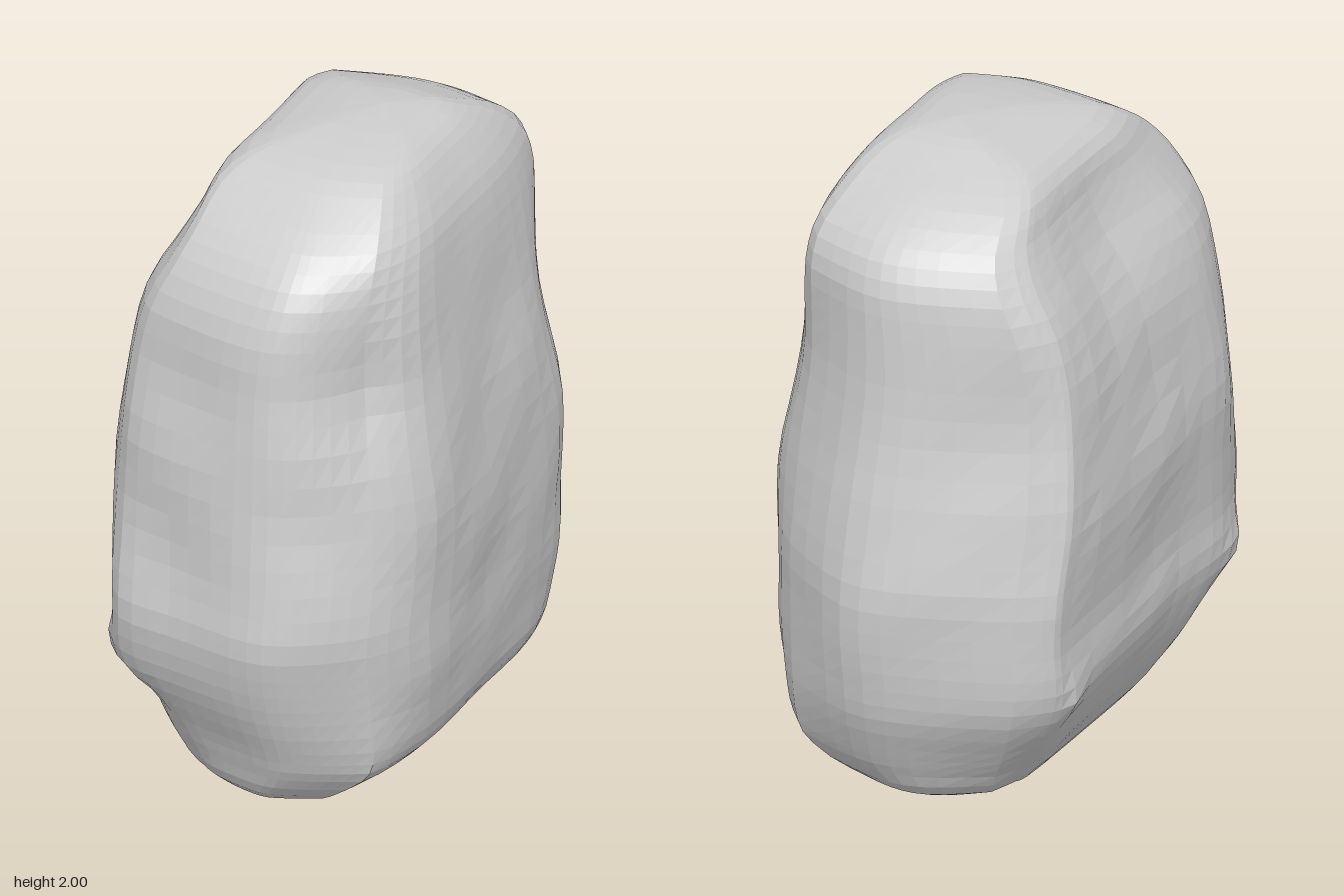
import * as THREE from 'three';

// Plan outline, normalised to -1..1 in x and z; third value marks the sharp -x corners
const PLAN = [
  [1, -0.5, 0], [1, 0, 0], [0.97, 0.53, 0], [0.7, 0.79, 0], [0.4, 0.95, 0], [0.1, 1, 0],
  [-0.4, 0.92, 0.3], [-0.8, 0.83, 1], [-1, 0.57, 0.4], [-0.97, 0.2, 0],
  [-1, -0.62, 0.5], [-0.9, -0.8, 1], [-0.25, -0.97, 0], [0.24, -1, 0], [0.76, -0.75, 0],
];

// Levels from bottom to top: y, xMin, xMax, zMin, zMax
const LEVELS = [
  [0, 0, 0, 0.05, 0.05], [0.02, -0.09, 0.1, -0.28, 0.36], [0.05, -0.18, 0.16, -0.45, 0.51],
  [0.11, -0.28, 0.26, -0.61, 0.61], [0.2, -0.35, 0.4, -0.68, 0.66], [0.28, -0.4, 0.45, -0.72, 0.69],
  [0.4, -0.45, 0.47, -0.77, 0.74], [0.52, -0.48, 0.485, -0.79, 0.78], [0.66, -0.475, 0.49, -0.8, 0.805],
  [0.82, -0.49, 0.5, -0.8, 0.78], [1, -0.505, 0.5, -0.76, 0.755], [1.2, -0.49, 0.48, -0.71, 0.74],
  [1.4, -0.47, 0.45, -0.68, 0.7], [1.57, -0.42, 0.43, -0.665, 0.68], [1.7, -0.35, 0.41, -0.65, 0.63],
  [1.8, -0.3, 0.385, -0.59, 0.54], [1.89, -0.265, 0.335, -0.46, 0.4], [1.95, -0.19, 0.285, -0.32, 0.28],
  [1.985, -0.04, 0.21, -0.22, 0.1], [2, 0.1, 0.1, -0.1, -0.1],
];

// Local pushes: centre, radius, offset
const DENTS = [
  { at: [-0.37, 1.68, -0.05], r: 0.2, by: [0.035, -0.01, 0] },    // hollow under the top
  { at: [-0.44, 1.4, -0.05], r: 0.25, by: [0.025, 0, 0] },        // hollow running down the side
  { at: [-0.47, 0.46, 0.55], r: 0.08, by: [-0.03, 0, 0.01] },     // front knob
  { at: [-0.37, 0.3, 0.6], r: 0.1, by: [0.025, 0.01, -0.03] },    // undercut below the knob
  { at: [-0.47, 0.45, -0.5], r: 0.07, by: [-0.03, 0, 0] },        // rear knob
];

const AROUND = 52;
const ROWS = 44;

function spline(rows, a, b, c, closed) {
  return new THREE.CatmullRomCurve3(
    rows.map((r) => new THREE.Vector3(r[a], r[b], r[c])), closed, 'catmullrom', 0.5);
}

// Weathering: low waves that leave the silhouette nearly unchanged
function weather(p) {
  const n = Math.sin(p.x * 9 + p.y * 5 + 1) * Math.sin(p.y * 8 - p.z * 6)
    + 0.6 * Math.sin(p.z * 14 + p.y * 11 + p.x * 7);
  const out = new THREE.Vector3(p.x, 0, p.z).normalize();
  p.addScaledVector(out, 0.006 * n * Math.sin((Math.PI * p.y) / 2));
}

// Sections are squarer towards the base and top, except at the upper +x+z corner;
// the -x corners are sharpest around the knobs
function outlineScale(q, y) {
  const away = y < 0.75 ? (0.75 - y) / 0.65 : (y - 0.75) / 1.15;
  const frontCorner = Math.min(1, 2 * Math.max(0, q.x) * Math.max(0, q.y));
  const chamfer = 0.42 * Math.exp(-(((y - 1.5) / 0.35) ** 2));
  const square = 0.08 + 0.48 * Math.min(1, away * away) - chamfer * frontCorner;
  const toSquare = 1 / Math.max(Math.abs(q.x), Math.abs(q.y));
  const blunt = 1 - THREE.MathUtils.smoothstep(y, 0.1, 0.5)
    + 0.4 * THREE.MathUtils.smoothstep(y, 0.6, 1.4);
  return (1 - 0.12 * q.z * blunt) * (1 + square * (toSquare - 1));
}

function buildRock() {
  const plan = spline(PLAN, 0, 1, 2, true);
  const spanX = spline(LEVELS, 0, 1, 2, false);
  const spanZ = spline(LEVELS, 0, 3, 4, false);
  const positions = [];
  const indices = [];

  // Stack the cross-sections
  for (let j = 0; j <= ROWS; j++) {
    const X = spanX.getPoint(j / ROWS);
    const Z = spanZ.getPoint(j / ROWS);
    for (let i = 0; i < AROUND; i++) {
      const q = plan.getPoint(i / AROUND);
      const k = outlineScale(q, X.x);
      const p = new THREE.Vector3(
        (X.y + X.z) / 2 + (q.x * k * (X.z - X.y)) / 2,
        X.x,
        (Z.y + Z.z) / 2 + (q.y * k * (Z.z - Z.y)) / 2);
      const base = p.clone();
      for (const d of DENTS) {
        const dist = base.distanceTo(new THREE.Vector3(...d.at));
        p.addScaledVector(new THREE.Vector3(...d.by), Math.exp(-((dist / d.r) ** 2)));
      }
      weather(p);
      positions.push(p.x, THREE.MathUtils.clamp(p.y, 0, 2), p.z);
    }
  }

  // Join neighbouring sections
  for (let j = 0; j < ROWS; j++) {
    for (let i = 0; i < AROUND; i++) {
      const a = j * AROUND + i;
      const b = j * AROUND + ((i + 1) % AROUND);
      const c = a + AROUND;
      const d = b + AROUND;
      if (j > 0) indices.push(a, c, b);
      if (j < ROWS - 1) indices.push(b, c, d);
    }
  }

  const geometry = new THREE.BufferGeometry();
  geometry.setAttribute('position', new THREE.Float32BufferAttribute(positions, 3));
  geometry.setIndex(indices);
  geometry.computeVertexNormals();
  return geometry;
}

export function createModel() {
  const group = new THREE.Group();
  group.name = 'boulder';
  const rock = new THREE.Mesh(
    buildRock(), new THREE.MeshStandardMaterial({ color: 0xcccccc, flatShading: true }));
  rock.name = 'rock';
  group.add(rock);
  return group;
}
